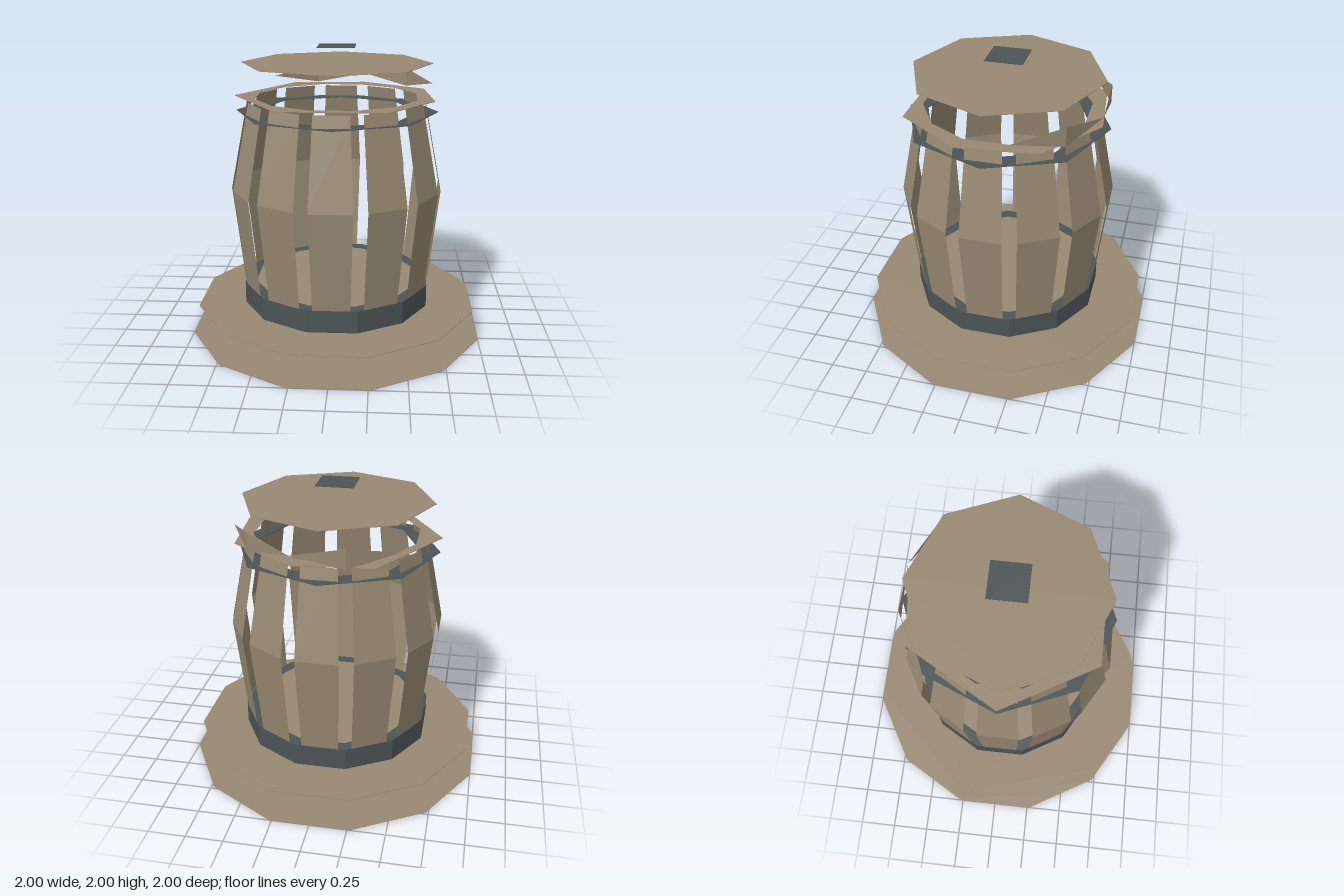
import * as THREE from 'three';

const wood = new THREE.MeshStandardMaterial({ color: 0x988972, side: THREE.DoubleSide });
wood.name = 'weatheredWood';
const iron = new THREE.MeshStandardMaterial({ color: 0x4c5456 });
iron.name = 'darkIron';

const rad = THREE.MathUtils.degToRad;
const polar = (r, deg) => new THREE.Vector2(r * Math.cos(rad(deg)), r * Math.sin(rad(deg)));
const polygon = (r, sides, start) =>
  Array.from({ length: sides }, (_, i) => polar(r, start + (i * 360) / sides));

function addMesh(parent, name, geometry, material) {
  const mesh = new THREE.Mesh(geometry, material);
  mesh.name = name;
  parent.add(mesh);
  return mesh;
}

// Horizontal paper-thin plate: outline points are (x, z), top face at y
function plate(parent, name, outline, y, material, hole) {
  const shape = new THREE.Shape(outline);
  if (hole) shape.holes.push(new THREE.Path(hole));
  const geometry = new THREE.ExtrudeGeometry(shape, { depth: 0.003, bevelEnabled: false });
  geometry.rotateX(Math.PI / 2);
  geometry.translate(0, y, 0);
  return addMesh(parent, name, geometry, material);
}

// Flat-shaded surface from a list of triangles
function facets(triangles) {
  const geometry = new THREE.BufferGeometry().setFromPoints(triangles.flat());
  geometry.computeVertexNormals();
  return geometry;
}

// One bent stave facing +z: rows of [y, distance from axis, half width]
function staveGeometry() {
  const rows = [[0.36, 0.64, 0.125], [1.04, 0.715, 0.142], [1.64, 0.598, 0.117]];
  const tris = [];
  for (let i = 0; i < rows.length - 1; i++) {
    const [a, b, c, d] = [[rows[i], -1], [rows[i], 1], [rows[i + 1], 1], [rows[i + 1], -1]]
      .map(([[y, r, w], s]) => new THREE.Vector3(s * w, y, r));
    tris.push([a, b, c], [a, c, d]);
  }
  return facets(tris);
}

export function createModel() {
  const model = new THREE.Group();
  model.name = 'staveLantern';

  // Two stepped base discs
  plate(model, 'baseLowerDisc', polygon(1.035, 12, 15), 0.003, wood);
  plate(model, 'baseUpperDisc', polygon(0.99, 12, 15), 0.205, wood);

  // Lower iron hoop with a narrow top lip
  const hoop = new THREE.CylinderGeometry(0.66, 0.66, 0.215, 12, 1, true, rad(15)).toNonIndexed();
  hoop.computeVertexNormals();
  addMesh(model, 'lowerHoop', hoop, iron).position.y = 0.2525;
  plate(model, 'lowerHoopLip', polygon(0.66, 12, 15), 0.36, iron, polygon(0.58, 12, 15));

  // Ring of staves
  const staves = new THREE.Group();
  staves.name = 'staves';
  const stave = staveGeometry();
  for (let i = 0; i < 12; i++) {
    addMesh(staves, 'stave', stave, wood).rotation.y = rad(i * 30);
  }
  model.add(staves);

  // Upper iron ring around the stave tops
  plate(model, 'upperRing', polygon(0.69, 8, 0), 1.56, iron, polygon(0.56, 8, 0));

  // Uneven wooden collar
  const collar = [[0.68, 15], [0.7, 60], [0.7, 120], [0.7, 180], [0.7, 240], [0.68, 285], [0.7, 330]]
    .map(([r, a]) => polar(r, a));
  plate(model, 'collar', collar, 1.66, wood, polygon(0.56, 12, 15));

  // Broken rim: pairs of upright triangles sharing a full-height edge
  const rimPoint = (deg, y) => {
    const p = polar(0.68, deg);
    return new THREE.Vector3(p.x, y, p.y);
  };
  const rim = [];
  for (const deg of [255, 315]) {
    const top = rimPoint(deg, 1.79);
    const bottom = rimPoint(deg, 1.66);
    rim.push([rimPoint(deg - 30, 1.725), top, bottom], [rimPoint(deg + 30, 1.725), bottom, top]);
  }
  addMesh(model, 'brokenRim', facets(rim), wood);

  // Lid disc and square cap
  plate(model, 'lid', polygon(0.648, 8, 0), 1.888, wood);
  plate(model, 'cap', polygon(0.178, 4, 45), 2.0, iron);

  return model;
}
